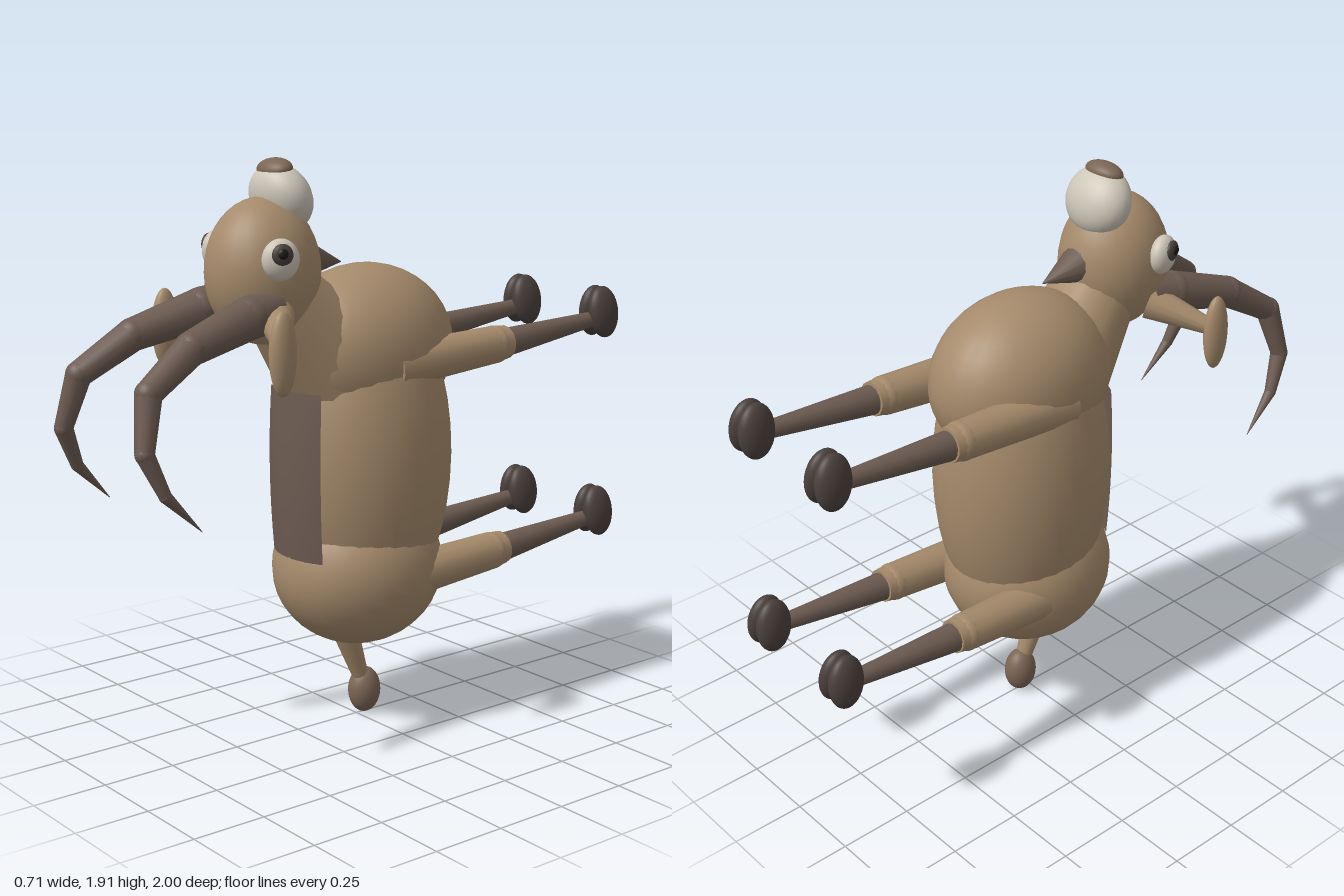
import * as THREE from 'three';

const mat = (name, color, side = THREE.FrontSide) => {
  const m = new THREE.MeshStandardMaterial({ color, side });
  m.name = name;
  return m;
};

export function createModel() {
  const root = new THREE.Group();
  root.name = 'goat';
  const tan = mat('tan coat', 0xa58a6b);
  const brown = mat('dark brown', 0x6c5b51);
  const brownOpen = mat('belly brown', 0x6c5b51, THREE.DoubleSide);
  const soft = mat('soft brown', 0x7b6655);
  const hoofMat = mat('hoof', 0x4a403c);
  const cream = mat('cream', 0xcdc6b8);
  const black = mat('pupil', 0x1c1a19);

  const add = (parent, name, geo, material) => {
    const m = new THREE.Mesh(geo, material);
    m.name = name;
    parent.add(m);
    return m;
  };
  const ball = (parent, name, material, p, r, rot = [0, 0, 0]) => {
    const m = add(parent, name, new THREE.SphereGeometry(1, 28, 20), material);
    m.position.set(...p);
    m.scale.set(...r);
    m.rotation.set(...rot);
    return m;
  };
  // Tapered round limb between two points
  const limb = (parent, name, material, a, b, ra, rb, sides = 14) => {
    const A = new THREE.Vector3(...a), B = new THREE.Vector3(...b);
    const d = B.clone().sub(A);
    const m = add(parent, name, new THREE.CylinderGeometry(rb, ra, d.length(), sides), material);
    m.position.copy(A).add(B).multiplyScalar(0.5);
    m.quaternion.setFromUnitVectors(new THREE.Vector3(0, 1, 0), d.normalize());
    return m;
  };

  // Body
  ball(root, 'chest', tan, [0, 1.28, -0.03], [0.25, 0.28, 0.33]);
  ball(root, 'barrel', tan, [0, 0.92, -0.028], [0.28, 0.6, 0.308]);
  ball(root, 'rump', tan, [0, 0.54, -0.005], [0.275, 0.268, 0.298]);

  // Belly patch wrapped over the front of the barrel
  const half = 0.49, top = Math.acos(0.25 / 1.1), bottom = Math.acos(-0.31 / 1.1);
  const belly = add(root, 'bellyPatch', new THREE.SphereGeometry(1, 16, 16,
    Math.PI / 2 - half, half * 2, top, bottom - top), brownOpen);
  belly.position.set(0, 0.92, -0.028);
  belly.scale.set(0.295, 1.1, 0.322);

  // Neck and head
  limb(root, 'neck', tan, [0, 1.24, 0.1], [0, 1.5, 0.33], 0.2, 0.13, 16);
  ball(root, 'head', tan, [0, 1.565, 0.375], [0.175, 0.233, 0.19]);
  ball(root, 'muzzle', cream, [0, 1.79, 0.302], [0.123, 0.112, 0.085], [0.4, 0, 0]);
  ball(root, 'nose', soft, [0, 1.88, 0.325], [0.073, 0.034, 0.048], [0.25, 0, 0]);
  limb(root, 'beard', brown, [0, 1.59, 0.21], [0, 1.57, 0.063], 0.062, 0.001, 12);

  // Tail
  limb(root, 'tail', tan, [0, 0.32, 0.05], [0, 0.12, -0.025], 0.046, 0.026);
  ball(root, 'tailTuft', soft, [0, 0.085, -0.035], [0.052, 0.08, 0.058]);

  // Horn centreline points with radii
  const hornPath = [
    [0.11, 1.46, 0.42, 0.07], [0.13, 1.445, 0.52, 0.068], [0.165, 1.38, 0.755, 0.053],
    [0.2, 1.27, 0.93, 0.042], [0.235, 1.1, 0.97, 0.03], [0.255, 0.97, 0.915, 0.02],
    [0.265, 0.845, 0.795, 0.001],
  ];

  for (const s of [1, -1]) {
    const side = s > 0 ? 'left' : 'right';
    const group = (name) => {
      const g = new THREE.Group();
      g.name = side + name;
      root.add(g);
      return g;
    };

    // Horn
    const horn = group('Horn');
    hornPath.forEach((p, i) => {
      if (i === 0) return;
      const q = hornPath[i - 1];
      limb(horn, 'hornSegment', brown, [s * q[0], q[1], q[2]], [s * p[0], p[1], p[2]], q[3], p[3], 12);
      if (i < hornPath.length - 1) ball(horn, 'hornJoint', brown, [s * p[0], p[1], p[2]], [p[3], p[3], p[3]]);
    });

    // Ear on its stalk
    const ear = group('Ear');
    limb(ear, 'earStalk', tan, [s * 0.13, 1.44, 0.42], [s * 0.315, 1.375, 0.53], 0.06, 0.026);
    ball(ear, 'earFlap', tan, [s * 0.323, 1.36, 0.535], [0.032, 0.13, 0.047]);

    // Eye
    const eye = group('Eye');
    ball(eye, 'eyeWhite', cream, [s * 0.172, 1.62, 0.43], [0.038, 0.065, 0.06], [0, -s * 0.3, 0]);
    ball(eye, 'iris', hoofMat, [s * 0.199, 1.637, 0.442], [0.016, 0.035, 0.034], [0, -s * 0.3, 0]);
    ball(eye, 'pupil', black, [s * 0.209, 1.641, 0.447], [0.01, 0.017, 0.017], [0, -s * 0.3, 0]);

    // Legs reaching backwards, front pair high and hind pair low
    for (const [name, y] of [['FrontLeg', 1.27], ['HindLeg', 0.55]]) {
      const leg = group(name);
      const x = s * 0.19;
      limb(leg, 'thigh', tan, [s * 0.18, y - 0.03, 0], [x, y, -0.44], 0.075, 0.064);
      ball(leg, 'knee', tan, [x, y, -0.44], [0.064, 0.064, 0.056]);
      limb(leg, 'kneeCuff', tan, [x, y, -0.43], [x, y + 0.004, -0.49], 0.063, 0.057);
      limb(leg, 'shin', brown, [x, y, -0.47], [s * 0.195, y + 0.042, -0.9], 0.05, 0.027);
      for (const k of [-1, 1])
        ball(leg, 'hoofToe', hoofMat, [s * 0.194 + k * 0.024, y + 0.068, -0.934],
          [0.037, 0.091, 0.063], [0.1, 0, k * 0.1]);
    }
  }
  return root;
}
